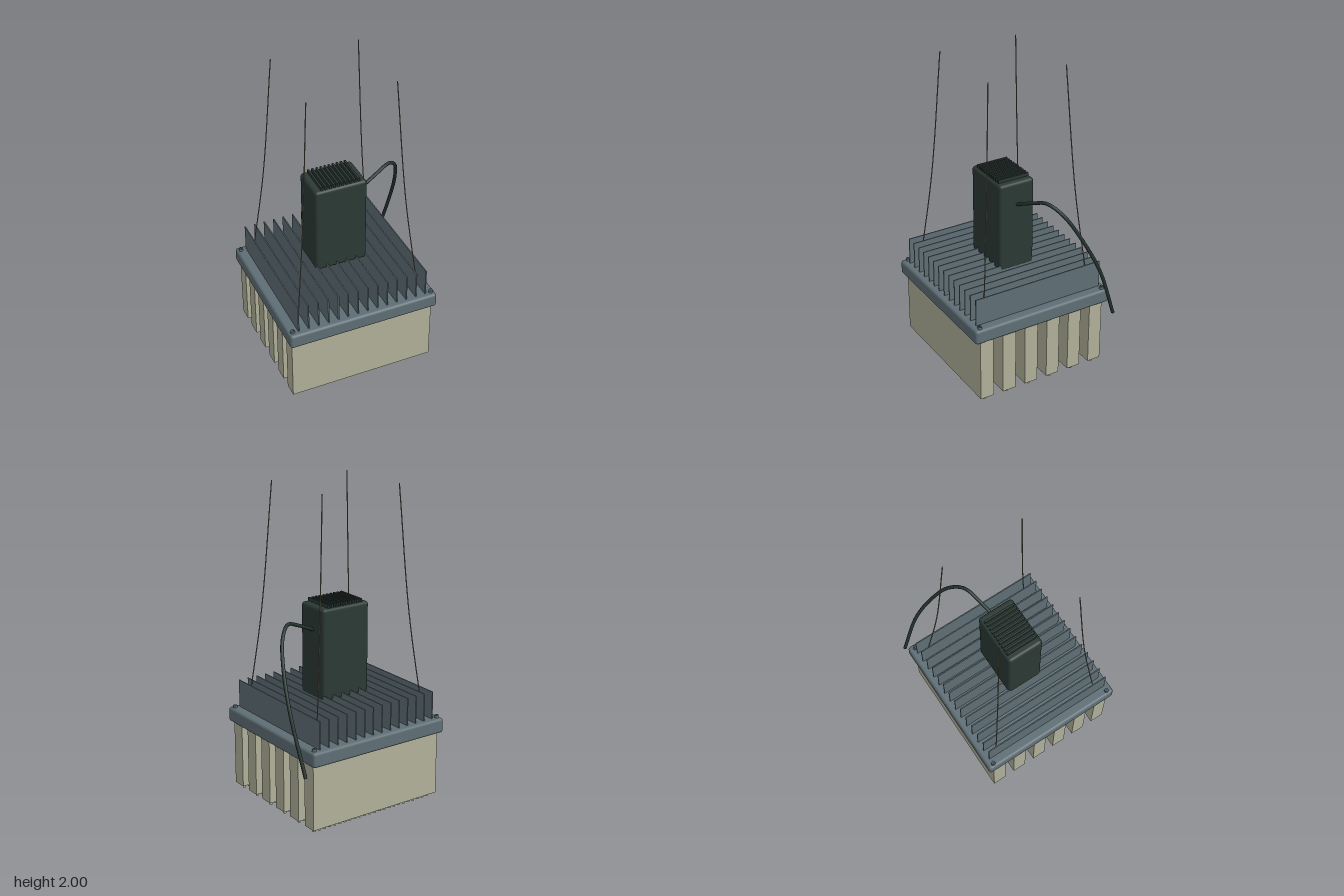
import * as THREE from 'three';
import { RoundedBoxGeometry } from 'three/addons/geometries/RoundedBoxGeometry.js';

const material = (name, color) => {
  const m = new THREE.MeshStandardMaterial({ color });
  m.name = name;
  return m;
};

export function createModel() {
  const slate = material('slate metal', 0x5e6e75);
  const beige = material('beige panel', 0xb0b09a);
  const darkGreen = material('dark green casing', 0x2b3934);
  const cableMat = material('black green cable', 0x24322d);
  const steel = material('wire steel', 0x7c7766);

  const model = new THREE.Group();
  model.name = 'hangingLamp';
  const cx = -0.045; // lamp axis; the cable hangs out to one side

  const add = (name, geometry, mat, x, y, z, parent = model) => {
    const mesh = new THREE.Mesh(geometry, mat);
    mesh.name = name;
    mesh.position.set(x, y, z);
    parent.add(mesh);
    return mesh;
  };
  const group = (name) => {
    const g = new THREE.Group();
    g.name = name;
    model.add(g);
    return g;
  };

  // Base plate
  add('basePlate', new RoundedBoxGeometry(0.98, 0.095, 0.95, 3, 0.018), slate, cx, 0.4925, 0);

  // Heat sink fins
  const fins = group('heatSinkFins');
  const finGeo = new THREE.BoxGeometry(0.007, 0.18, 0.88);
  for (let i = 0; i < 14; i++) {
    add('fin', finGeo, slate, cx + (i - 6.5) * 0.0652, 0.627, 0, fins);
  }

  // Corner screws with crossed slots
  const screws = group('screws');
  const headGeo = new THREE.CylinderGeometry(0.013, 0.014, 0.016, 16);
  const slotGeo = new THREE.BoxGeometry(0.019, 0.002, 0.004);
  for (const sx of [-1, 1]) {
    for (const sz of [-1, 1]) {
      const x = cx + sx * 0.4625, z = sz * 0.435;
      add('screwHead', headGeo, slate, x, 0.547, z, screws);
      add('screwSlot', slotGeo, darkGreen, x, 0.5547, z, screws);
      add('screwSlot', slotGeo, darkGreen, x, 0.5548, z, screws).rotation.y = Math.PI / 2;
    }
  }

  // Light panels below, each with a row of emitters
  const panels = group('lightPanels');
  const panelGeo = new THREE.BoxGeometry(0.94, 0.42, 0.09);
  const emitterGeo = new THREE.CylinderGeometry(0.0105, 0.0105, 0.032, 10);
  for (let r = 0; r < 6; r++) {
    const z = (r - 2.5) * 0.1565;
    add('lightPanel', panelGeo, beige, cx, 0.24, z, panels);
    for (let i = 0; i < 24; i++) {
      add('emitter', emitterGeo, beige, cx + (i - 11.5) * 0.0378, 0.016, z, panels);
    }
  }

  // Driver casing with cooling ribs on top
  add('driverCasing', new RoundedBoxGeometry(0.34, 0.585, 0.24, 4, 0.02), darkGreen, cx, 0.9725, 0);
  const ribs = group('driverRibs');
  const ribGeo = new THREE.BoxGeometry(0.013, 0.03, 0.21);
  for (let i = 0; i < 10; i++) {
    add('rib', ribGeo, darkGreen, cx + (i - 4.5) * 0.0267, 1.271, 0, ribs);
  }

  // Tubes along a curve, closed with round end caps
  const tube = (name, points, radius, segments, sides, mat, parent) => {
    const curve = new THREE.CatmullRomCurve3(points.map((p) => new THREE.Vector3(...p)));
    add(name, new THREE.TubeGeometry(curve, segments, radius, sides), mat, 0, 0, 0, parent);
    for (const t of [0, 1]) {
      const p = curve.getPoint(t);
      const cap = add(name + 'End', new THREE.CircleGeometry(radius, sides), mat, p.x, p.y, p.z, parent);
      const dir = curve.getTangent(t).multiplyScalar(t ? 1 : -1);
      cap.quaternion.setFromUnitVectors(new THREE.Vector3(0, 0, 1), dir);
    }
  };

  // Power cable
  tube('powerCable', [
    [0.11, 1.11, 0], [0.25, 1.172, -0.035], [0.35, 1.203, -0.07], [0.43, 1.14, -0.135],
    [0.487, 0.98, -0.23], [0.518, 0.75, -0.345], [0.502, 0.4, -0.47],
  ], 0.011, 48, 12, cableMat, model);

  // Suspension wires
  const wires = group('suspensionWires');
  for (const sx of [-1, 1]) {
    for (const sz of [-1, 1]) {
      tube('suspensionWire', [
        [cx + sx * 0.398, 0.585, sz * 0.37],
        [cx + sx * 0.332, 1.2, sz * 0.309],
        [cx + sx * 0.278, 2, sz * 0.26],
      ], 0.0035, 16, 8, steel, wires);
    }
  }

  return model;
}
